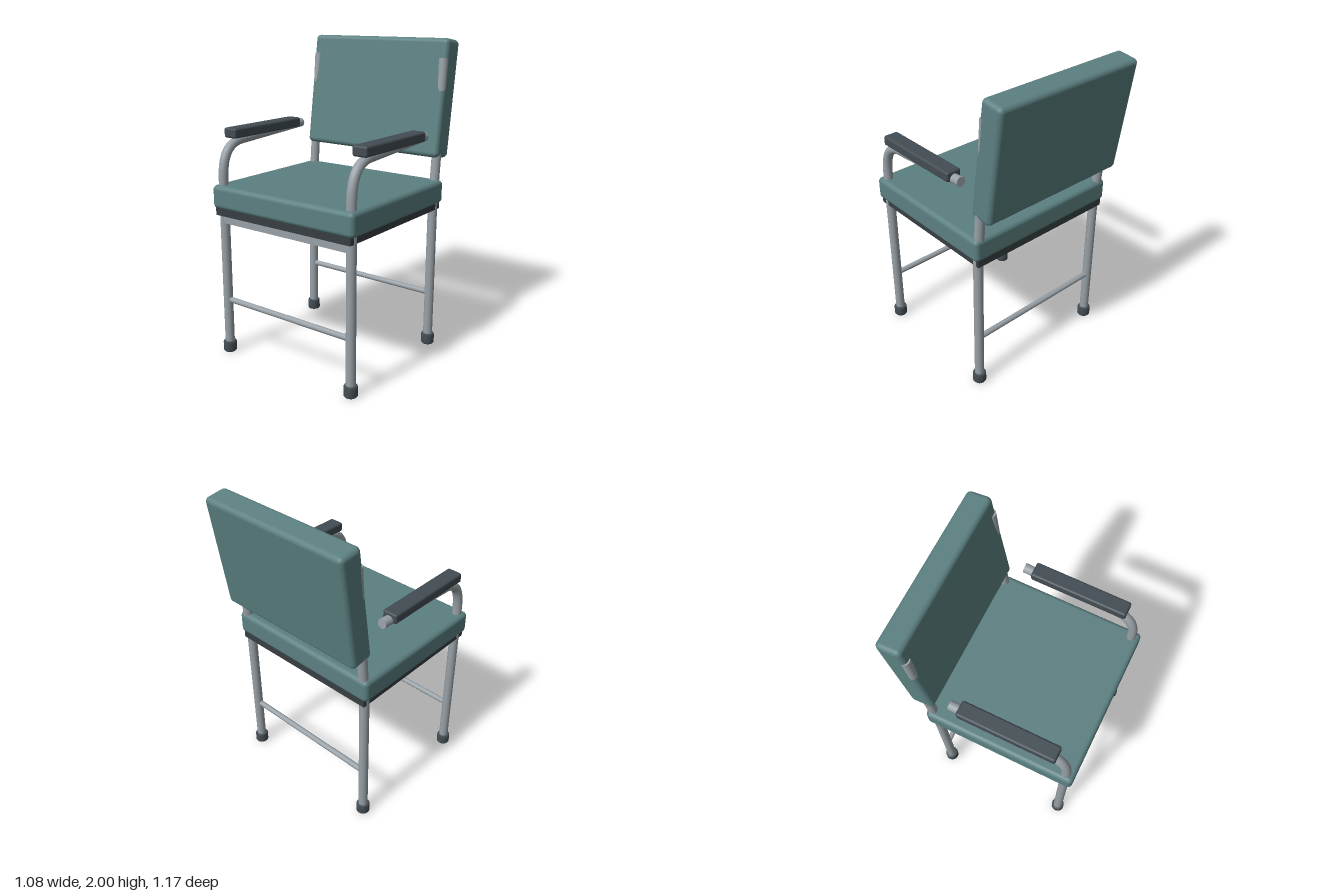
import * as THREE from 'three';
import { RoundedBoxGeometry } from 'three/addons/geometries/RoundedBoxGeometry.js';

const TUBE_R = 0.03;
const LEG_X = 0.49;

export function createModel() {
  const chair = new THREE.Group();
  chair.name = 'armchair';

  const mat = (name, color) => {
    const m = new THREE.MeshStandardMaterial({ color });
    m.name = name;
    return m;
  };
  const upholstery = mat('tealUpholstery', 0x5c8081);
  const rubber = mat('darkRubber', 0x434d53);
  const board = mat('seatBoardBlack', 0x363e41);
  const metal = mat('greyMetal', 0x98a1a7);

  const add = (parent, name, geometry, material, x = 0, y = 0, z = 0) => {
    const mesh = new THREE.Mesh(geometry, material);
    mesh.name = name;
    mesh.position.set(x, y, z);
    parent.add(mesh);
    return mesh;
  };

  const point = (y, z) => new THREE.Vector3(0, y, z);

  // Bent tube with a flat cap at its upper end
  const addTube = (parent, name, curves, segments) => {
    const path = new THREE.CurvePath();
    curves.forEach((c) => path.add(c));
    const tube = add(parent, name, new THREE.TubeGeometry(path, segments, TUBE_R, 24), metal);
    const end = path.getPointAt(1);
    const cap = add(tube, name + 'Cap', new THREE.CircleGeometry(TUBE_R, 24), metal, end.x, end.y, end.z);
    cap.quaternion.setFromUnitVectors(new THREE.Vector3(0, 0, 1), path.getTangentAt(1));
  };

  // Rubber foot profile, slightly rounded at both rims
  const footGeometry = new THREE.LatheGeometry(
    [[0, 0], [0.037, 0], [0.043, 0.008], [0.043, 0.062], [0.037, 0.072], [0, 0.072]]
      .map(([r, y]) => new THREE.Vector2(r, y)), 24);

  for (const side of [1, -1]) {
    const frame = new THREE.Group();
    frame.name = side > 0 ? 'leftFrame' : 'rightFrame';
    frame.position.x = side * LEG_X;
    chair.add(frame);

    // Front leg runs up and bends back to carry the armrest
    addTube(frame, 'frontLegAndArm', [
      new THREE.LineCurve3(point(0.03, 0.53), point(1.15, 0.53)),
      new THREE.CubicBezierCurve3(point(1.15, 0.53), point(1.28, 0.53), point(1.365, 0.495), point(1.384, 0.38)),
      new THREE.LineCurve3(point(1.384, 0.38), point(1.42, -0.222)),
    ], 100);

    // Back leg leans back above the seat to hold the backrest
    addTube(frame, 'backLegAndPost', [
      new THREE.LineCurve3(point(0.03, -0.348), point(0.92, -0.356)),
      new THREE.QuadraticBezierCurve3(point(0.92, -0.356), point(1.0, -0.358), point(1.08, -0.367)),
      new THREE.LineCurve3(point(1.08, -0.367), point(1.88, -0.435)),
    ], 60);

    add(frame, 'frontFoot', footGeometry, rubber, 0, 0, 0.53);
    add(frame, 'backFoot', footGeometry, rubber, 0, 0, -0.348);
    add(frame, 'armPad', new RoundedBoxGeometry(0.1, 0.063, 0.625, 4, 0.014), rubber, 0, 1.433, 0.152);
  }

  // Cross bars between the legs
  for (const [name, z] of [['frontStretcher', 0.53], ['backStretcher', -0.35]]) {
    const bar = add(chair, name, new THREE.CylinderGeometry(0.018, 0.018, 0.94, 20), metal, 0, 0.36, z);
    bar.rotation.z = Math.PI / 2;
  }
  add(chair, 'frontApron', new THREE.BoxGeometry(0.96, 0.055, 0.05), metal, 0, 0.907, 0.53);

  // Seat cushion on its board
  add(chair, 'seatBoard', new THREE.BoxGeometry(1.034, 0.05, 0.97), board, 0, 0.957, 0.093);
  add(chair, 'seatCushion', new RoundedBoxGeometry(1.08, 0.15, 0.99, 5, 0.03), upholstery, 0, 1.047, 0.093);

  // Tilted backrest cushion
  const back = add(chair, 'backrestCushion', new RoundedBoxGeometry(1.04, 0.742, 0.156, 5, 0.03),
    upholstery, 0, 1.627, -0.459);
  back.rotation.x = -0.141;

  return chair;
}
